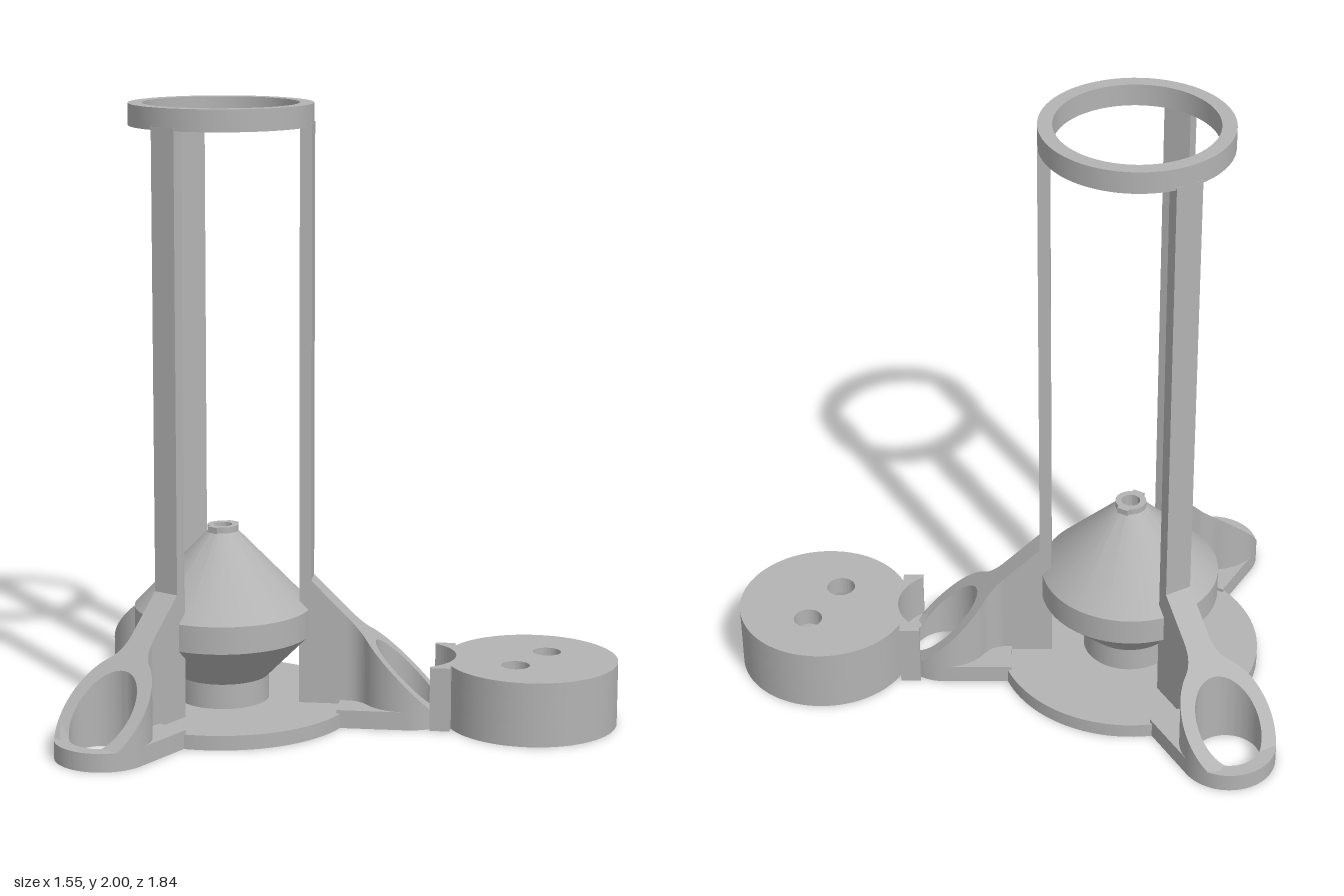
import * as THREE from 'three';
import { toCreasedNormals } from 'three/addons/utils/BufferGeometryUtils.js';

const grey = new THREE.MeshStandardMaterial({ color: 0xb3b3b3 });
grey.name = 'light grey';

const FOOT = 0.61;      // distance of foot hole from the tower axis
const FOOT_R = 0.154;
const HOLE_R = 0.107;

function add(parent, name, geo) {
  const mesh = new THREE.Mesh(geo, grey);
  mesh.name = name;
  parent.add(mesh);
  return mesh;
}

// Plan outline (radial, lateral) raised from y0 to y1
function slab(shape, y0, y1) {
  const geo = new THREE.ExtrudeGeometry(shape, { depth: y1 - y0, bevelEnabled: false, curveSegments: 40 });
  geo.rotateX(-Math.PI / 2);
  geo.translate(0, y0, 0);
  return geo;
}

const smooth = (geo) => toCreasedNormals(geo, 0.45);

function circleHole(shape, x, y, r) {
  shape.holes.push(new THREE.Path().absarc(x, y, r, 0, Math.PI * 2, true));
}

function lathe(points) {
  return smooth(new THREE.LatheGeometry(points.map(([r, y]) => new THREE.Vector2(r, y)), 80));
}

// Flat foot pad with round end
function padGeometry() {
  const s = new THREE.Shape();
  s.moveTo(0.39, -FOOT_R);
  s.lineTo(FOOT, -FOOT_R);
  s.absarc(FOOT, 0, FOOT_R, -Math.PI / 2, Math.PI / 2, false);
  s.lineTo(0.39, FOOT_R);
  s.closePath();
  circleHole(s, FOOT, 0, HOLE_R);
  return smooth(slab(s, 0, 0.06));
}

// Upright fin flaring into a tube, cut off by a 45 degree slope
function finGeometry() {
  const h = 0.045, a = Math.PI - 0.57;
  const ex = FOOT + FOOT_R * Math.cos(a), ey = FOOT_R * Math.sin(a);
  const s = new THREE.Shape();
  s.moveTo(0.256, -h);
  s.lineTo(0.41, -h);
  s.quadraticCurveTo(0.455, -h, ex, -ey);
  s.absarc(FOOT, 0, FOOT_R, -a, a, false);
  s.quadraticCurveTo(0.455, h, 0.41, h);
  s.lineTo(0.256, h);
  s.closePath();
  circleHole(s, FOOT, 0, HOLE_R);
  const geo = slab(s, 0.01, 0.5);
  const p = geo.attributes.position;
  for (let i = 0; i < p.count; i++) {
    if (p.getY(i) > 0.3) p.setY(i, Math.max(0.02, 0.755 - p.getX(i)));
  }
  return smooth(geo);
}

// Cap outline: round body with two horns hugging the foot
function capShape() {
  const c = 1.01, R = 0.28, n = 0.156;
  const a = Math.PI - Math.asin(0.12 / R);
  const b = Math.acos(0.08 / n);
  const s = new THREE.Shape();
  s.moveTo(0.69, -0.15);
  s.lineTo(0.755, -0.15);
  s.lineTo(0.755, -0.12);
  s.absarc(c, 0, R, -a, a, false);
  s.lineTo(0.755, 0.12);
  s.lineTo(0.755, 0.15);
  s.lineTo(0.69, 0.15);
  s.absarc(FOOT, 0, n, b, -b, true);
  s.closePath();
  return s;
}

function buildCap() {
  const cap = new THREE.Group();
  cap.name = 'cap';
  const c = 1.01;
  const top = capShape();
  for (const k of [-1, 1]) circleHole(top, c + k * 0.097 * 0.5, k * 0.097 * 0.866, 0.046);
  add(cap, 'capTop', smooth(slab(top, 0.15, 0.21)));
  // Stepped hollow underneath
  [[0, 0.03, 0.24], [0.03, 0.07, 0.22], [0.07, 0.15, 0.18]].forEach(([y0, y1, r]) => {
    const s = capShape();
    circleHole(s, c, 0, r);
    add(cap, 'capWall', smooth(slab(s, y0, y1)));
  });
  return cap;
}

export function createModel() {
  const model = new THREE.Group();
  model.name = 'tower';
  const body = new THREE.Group();
  body.name = 'frame';
  body.position.set(-0.01, 0, -0.24);
  model.add(body);

  // Base disc with central opening
  add(body, 'baseDisc', lathe([[0.1, 0], [0.43, 0], [0.43, 0.048], [0.1, 0.048], [0.1, 0]]));

  // Hollow double-cone chamber with threaded inlet
  const profile = [[0.1, 0.002], [0.15, 0.002], [0.15, 0.13], [0.29, 0.272], [0.29, 0.362],
    [0.055, 0.605], [0.05, 0.61], [0.05, 0.63], [0.03, 0.63], [0.03, 0.58],
    [0.25, 0.35], [0.25, 0.285], [0.1, 0.14]];
  for (let i = 0; i < 4; i++) profile.push([0.085, 0.122 - i * 0.03], [0.1, 0.107 - i * 0.03]);
  profile.push([0.1, 0.002]);
  add(body, 'chamber', lathe(profile));
  for (const k of [-1, 1]) {
    const ear = add(body, 'nozzleEar', new THREE.BoxGeometry(0.014, 0.02, 0.04));
    ear.position.set(k * 0.05, 0.62, 0);
  }

  // Top ring
  add(body, 'topRing', lathe([[0.25, 1.93], [0.295, 1.93], [0.295, 2], [0.25, 2], [0.25, 1.93]]));

  // Three legs, each with pad, fin and column
  const pad = padGeometry();
  const fin = finGeometry();
  const column = new THREE.BoxGeometry(0.039, 1.9, 0.09);
  for (const angle of [Math.PI, Math.PI / 3, -Math.PI / 3]) {
    const leg = new THREE.Group();
    leg.name = 'leg';
    leg.rotation.y = angle;
    add(leg, 'footPad', pad);
    add(leg, 'fin', fin);
    add(leg, 'column', column).position.set(0.2755, 0.99, 0);
    if (angle < 0) leg.add(buildCap());
    body.add(leg);
  }
  return model;
}
